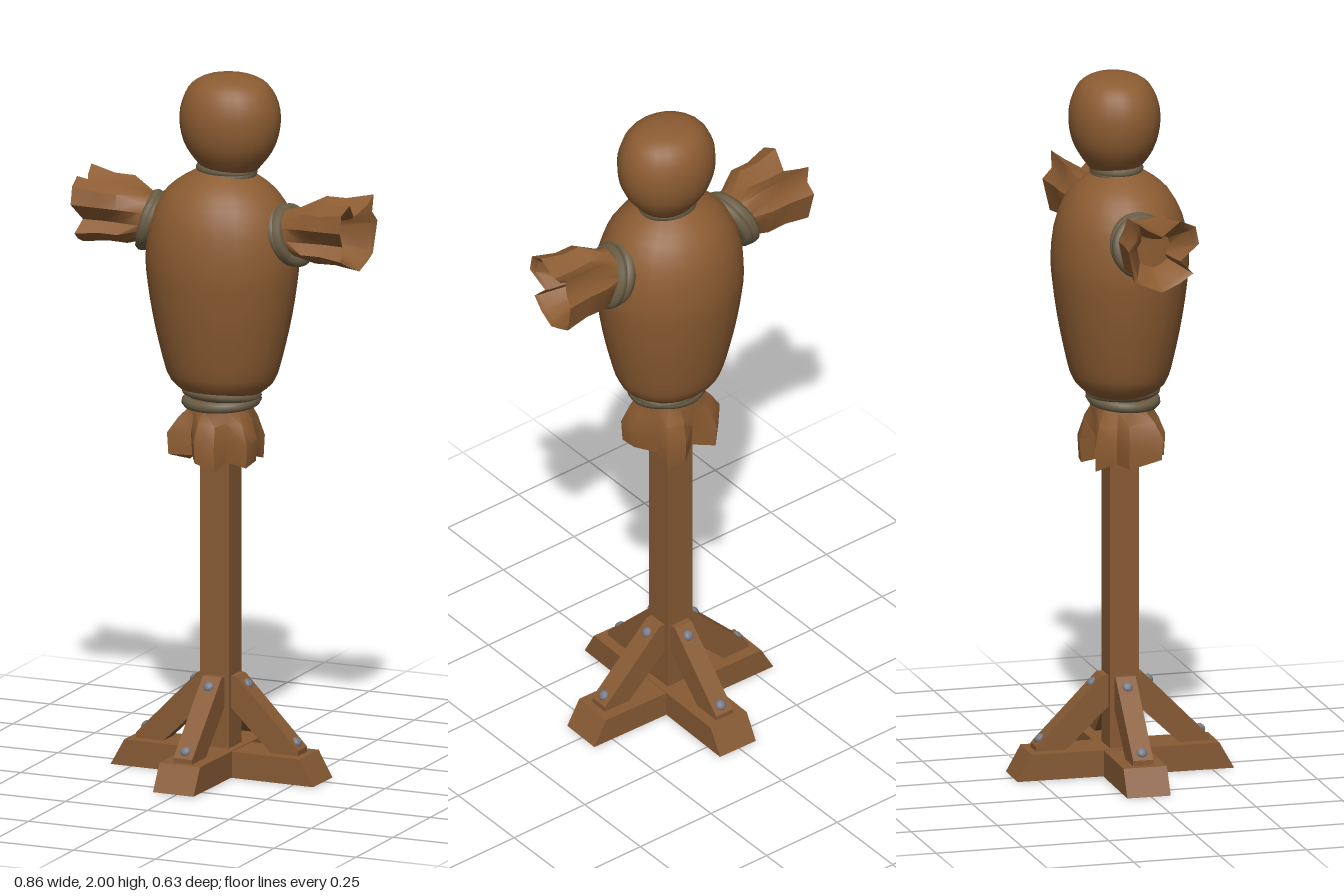
import * as THREE from 'three';
import { toCreasedNormals } from 'three/addons/utils/BufferGeometryUtils.js';

const mat = (name, color, side = THREE.FrontSide) => {
  const m = new THREE.MeshStandardMaterial({ color, side });
  m.name = name;
  return m;
};

export function createModel() {
  const model = new THREE.Group();
  model.name = 'trainingDummy';
  const burlap = mat('burlap', 0x8c5c32);
  const cloth = mat('burlapCloth', 0x8c5c32, THREE.DoubleSide);
  const wood = mat('wood', 0x875a34);
  const rope = mat('rope', 0x6a5d45);
  const iron = mat('iron', 0x777a85);

  const add = (name, geo, material, parent = model) => {
    const mesh = new THREE.Mesh(geo, material);
    mesh.name = name;
    parent.add(mesh);
    return mesh;
  };

  // Stuffed sack: a smooth turned profile, flattened front to back
  const sack = (name, pts, depth, x, z) => {
    const curve = new THREE.SplineCurve(pts.map(p => new THREE.Vector2(...p)));
    const geo = new THREE.LatheGeometry(curve.getPoints(22).map(p => p.setX(Math.max(p.x, 0))), 22);
    geo.scale(1, 1, depth);
    geo.translate(x, 0, z);
    add(name, geo, burlap);
  };
  sack('head', [[0.05, 1.7], [0.085, 1.735], [0.126, 1.79], [0.143, 1.85], [0.14, 1.91],
    [0.115, 1.962], [0.07, 1.99], [0, 2]], 0.88, 0.022, -0.01);
  sack('torso', [[0.08, 1.07], [0.115, 1.095], [0.152, 1.13], [0.174, 1.2], [0.197, 1.3], [0.213, 1.4],
    [0.219, 1.48], [0.205, 1.58], [0.167, 1.655], [0.115, 1.7], [0.06, 1.73]], 0.87, 0.003, 0);

  // Gathered cloth: rings [height, scale, blend] pass from a circle to the folded hem outline
  const gathered = (name, outline, radius, rings, place) => {
    const n = outline.length, pos = [], idx = [];
    rings.forEach(([h, s, blend]) => outline.forEach(([u, v, dh]) => {
      const a = Math.atan2(v, u);
      const p = place(
        s * THREE.MathUtils.lerp(radius * Math.cos(a), u, blend),
        s * THREE.MathUtils.lerp(radius * Math.sin(a), v, blend),
        h + dh * blend * blend);
      pos.push(...p);
    }));
    for (let r = 0; r < rings.length - 1; r++) for (let i = 0; i < n; i++) {
      const a = r * n + i, b = r * n + (i + 1) % n;
      idx.push(a, b, a + n, b, b + n, a + n);
    }
    // Close the pocket inside the mouth
    const last = (rings.length - 1) * n;
    for (let i = 1; i < n - 1; i++) idx.push(last, last + i, last + i + 1);
    const geo = new THREE.BufferGeometry();
    geo.setAttribute('position', new THREE.Float32BufferAttribute(pos, 3));
    geo.setIndex(idx);
    add(name, toCreasedNormals(geo, 0.75), cloth);
  };

  // Skirt under the torso
  const hem = [[0.12, 0.02, 0.02], [0.115, 0.08, 0.01], [0.05, 0.075, 0.02], [0.03, 0.12, 0],
    [-0.03, 0.125, 0.02], [-0.06, 0.075, 0.03], [-0.13, 0.09, 0.03], [-0.1, 0, 0],
    [-0.14, -0.05, 0.03], [-0.09, -0.1, 0], [-0.02, -0.075, 0.02], [0.03, -0.11, 0],
    [0.09, -0.1, 0], [0.085, -0.04, 0.02]];
  gathered('skirt', hem, 0.08,
    [[1.1, 1, 0], [1.05, 1, 0.1], [1.01, 1, 0.55], [0.95, 1, 0.95], [0.885, 0.95, 1],
      [0.9, 0.82, 0.95], [0.98, 0.6, 0.5]],
    (u, v, h) => [u, h, v]);

  // Sleeves, mirrored; outline is depth, height, outward shift
  const cuff = [[0.1, 0.085, -0.015], [0.055, 0.105, -0.01], [0.005, 0.06, -0.02], [-0.04, 0.085, 0],
    [-0.075, 0.11, 0.005], [-0.075, 0.06, 0], [-0.1, 0.03, 0.005], [-0.08, -0.06, 0],
    [-0.045, -0.075, 0], [0, -0.095, -0.005], [0.05, -0.075, -0.01], [0.095, -0.05, -0.02],
    [0.06, -0.015, -0.03], [0.11, 0.035, -0.015]];
  // Two turns of rope round an axis; place maps cos, sin and axial offset to a point
  const lashing = (name, gap, thick, place) => {
    const pts = [];
    for (let i = 0; i < 40; i++) {
      const a = i / 40 * Math.PI * 4;
      pts.push(new THREE.Vector3(...place(Math.cos(a), Math.sin(a), gap * Math.sin(a / 2 + 0.4))));
    }
    add(name, new THREE.TubeGeometry(new THREE.CatmullRomCurve3(pts, true), 72, thick, 8, true), rope);
  };
  for (const [side, s] of [['left', 1], ['right', -1]]) {
    gathered(side + 'Sleeve', cuff, 0.066,
      [[0.17, 1, 0], [0.225, 1, 0.1], [0.29, 1, 0.7], [0.35, 0.95, 0.8], [0.426, 1, 1],
        [0.415, 0.88, 0.95], [0.33, 0.55, 0.6]],
      (u, v, h) => [s * h, 1.57 + v, u]);
    lashing(side + 'ArmRope', 0.014, 0.018,
      (c, n, g) => [s * (0.21 + g - 0.026 * n - 0.012 * c), 1.558 + 0.07 * n, 0.072 * c]);
  }
  lashing('neckRope', 0.008, 0.014, (c, n, g) => [0.013 + 0.074 * c, 1.722 + g, -0.006 + 0.06 * n]);
  lashing('waistRope', 0.018, 0.016, (c, n, g) => [0.005 + 0.098 * c, 1.08 + g, 0.01 + 0.088 * n]);

  // Post
  const post = add('post', new THREE.BoxGeometry(0.088, 1.09, 0.084), wood);
  post.position.set(-0.002, 0.555, 0);

  // Crossed feet with bevelled ends, plus four bolted braces
  const slab = (pts, width) => {
    const geo = new THREE.ExtrudeGeometry(new THREE.Shape(pts.map(p => new THREE.Vector2(...p))),
      { depth: width, bevelEnabled: false });
    return geo.translate(0, 0, -width / 2);
  };
  const stand = new THREE.Group();
  stand.name = 'stand';
  stand.rotation.y = -0.02;
  model.add(stand);
  const footGeo = slab([[-0.312, 0], [0.312, 0], [0.27, 0.075], [-0.27, 0.075]], 0.125);
  add('sideFoot', footGeo, wood, stand);
  const frontFoot = add('frontFoot', footGeo, wood, stand);
  frontFoot.rotation.y = Math.PI / 2;
  frontFoot.position.y = 0.002;

  const braceGeo = slab([[0.035, 0.2], [0.17, 0.07], [0.25, 0.07], [0.25, 0.09], [0.06, 0.283], [0.035, 0.283]], 0.058);
  const boltGeo = new THREE.SphereGeometry(0.016, 8, 6);
  for (let i = 0; i < 4; i++) {
    const leg = new THREE.Group();
    leg.name = 'braceAssembly';
    leg.rotation.y = i * Math.PI / 2;
    stand.add(leg);
    add('brace', braceGeo, wood, leg);
    for (const [x, y] of [[0.082, 0.259], [0.232, 0.107]]) {
      const bolt = add('bolt', boltGeo, iron, leg);
      bolt.position.set(x, y, 0);
      bolt.rotation.z = -Math.PI / 4;
      bolt.scale.y = 0.7;
    }
  }
  return model;
}
